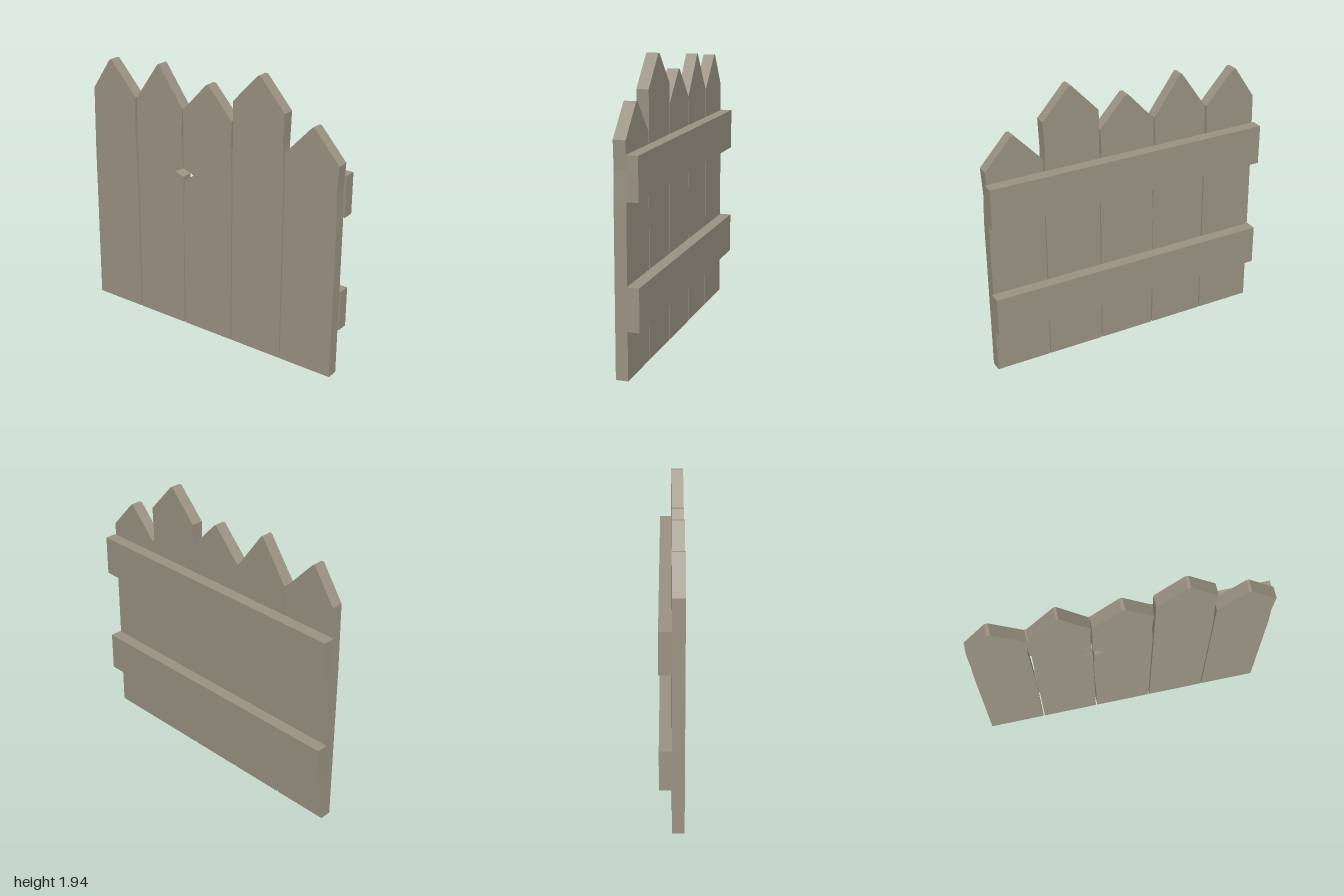
import * as THREE from 'three';

const DEPTH = 0.08;

// Each plank: outline points (x, y), counter-clockwise from the bottom left corner
const PLANKS = [
  [[-0.997, 0], [-0.607, 0], [-0.606, 0.9], [-0.617, 1.4], [-0.607, 1.6],
    [-0.81, 1.825], [-0.83, 1.825], [-0.98, 1.6], [-0.99, 1.13]],
  // chipped on its right edge
  [[-0.597, 0], [-0.208, 0], [-0.205, 1.12], [-0.275, 1.145], [-0.205, 1.18], [-0.217, 1.4],
    [-0.205, 1.6], [-0.395, 1.867], [-0.41, 1.867], [-0.597, 1.6]],
  // chipped on its left edge
  [[-0.197, 0], [0.195, 0], [0.195, 1.2], [0.185, 1.42], [0.194, 1.6], [0.01, 1.803],
    [-0.01, 1.803], [-0.198, 1.6], [-0.203, 1.2], [-0.115, 1.15], [-0.192, 1.1], [-0.203, 0.9]],
  [[0.203, 0], [0.596, 0], [0.596, 1.25], [0.585, 1.52], [0.593, 1.735], [0.41, 1.94],
    [0.39, 1.94], [0.203, 1.74]],
  [[0.603, 0], [0.99, 0], [0.99, 1.1], [0.982, 1.3], [0.992, 1.485], [0.81, 1.688],
    [0.79, 1.688], [0.603, 1.485]],
];

export function createModel() {
  const group = new THREE.Group();
  const wood = new THREE.MeshStandardMaterial({ color: 0x9b9383 });
  wood.name = 'weatheredWood';

  // Upright pointed planks
  PLANKS.forEach((points, i) => {
    const shape = new THREE.Shape(points.map(([x, y]) => new THREE.Vector2(x, y)));
    const geometry = new THREE.ExtrudeGeometry(shape, { depth: DEPTH, bevelEnabled: false });
    const plank = new THREE.Mesh(geometry, wood);
    plank.name = `plank${i + 1}`;
    group.add(plank);
  });

  // Horizontal rails across the back
  for (const [name, y] of [['lowerRail', 0.46], ['upperRail', 1.26]]) {
    const rail = new THREE.Mesh(new THREE.BoxGeometry(2, 0.28, DEPTH), wood);
    rail.name = name;
    rail.position.set(0, y, -DEPTH / 2);
    group.add(rail);
  }
  return group;
}
